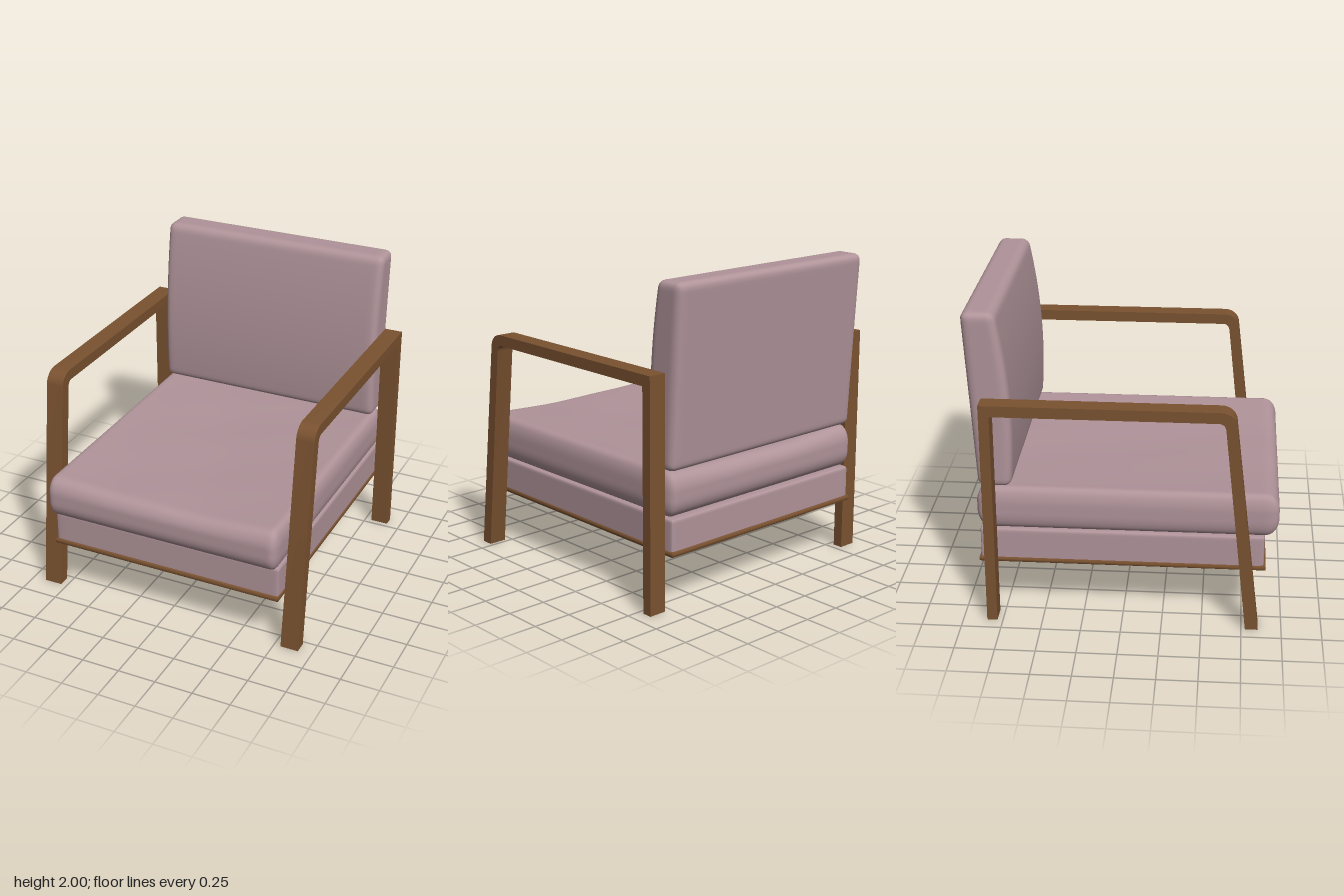
import * as THREE from 'three';
import { mergeVertices, toCreasedNormals } from 'three/addons/utils/BufferGeometryUtils.js';

const fabric = new THREE.MeshStandardMaterial({ color: 0xb0949a });
const wood = new THREE.MeshStandardMaterial({ color: 0x7a5230 });

// Box with elliptical rounded edges; vertices crowd toward the edges, then an optional rule bends it.
function softBox(size, radius, n, rule) {
  const g = new THREE.BoxGeometry(2, 2, 2, n, n, n);
  g.deleteAttribute('uv');
  g.deleteAttribute('normal');
  const pos = g.attributes.position;
  for (let i = 0; i < pos.count; i++) {
    const p = new THREE.Vector3().fromBufferAttribute(pos, i);
    const core = [], off = [];
    p.toArray().forEach((u, k) => {
      const half = size[k] / 2, inner = half - radius[k];
      const v = Math.sign(u) * (1 - (1 - Math.abs(u)) ** 2) * half;
      core[k] = THREE.MathUtils.clamp(v, -inner, inner);
      off[k] = (v - core[k]) / radius[k];
    });
    const len = Math.hypot(...off) || 1;
    p.fromArray(core.map((c, k) => c + (off[k] / len) * radius[k]));
    if (rule) rule(p);
    pos.setXYZ(i, p.x, p.y, p.z);
  }
  const merged = mergeVertices(g, 1e-5);
  merged.computeVertexNormals();
  return merged;
}

function add(group, name, geometry, material, x = 0, y = 0, z = 0) {
  const mesh = new THREE.Mesh(geometry, material);
  mesh.name = name;
  mesh.position.set(x, y, z);
  group.add(mesh);
  return mesh;
}

// Arm frame drawn in the side plane (z, y): raked front leg, rounded bend, arm rail, straight rear leg
function armGeometry(width) {
  const s = new THREE.Shape();
  s.moveTo(0.855, 0);
  s.lineTo(0.688, 1.39);
  s.bezierCurveTo(0.682, 1.435, 0.64, 1.47, 0.59, 1.47);
  s.lineTo(-0.85, 1.47);
  s.lineTo(-0.85, 0);
  s.lineTo(-0.785, 0);
  s.lineTo(-0.785, 1.4);
  s.lineTo(0.58, 1.4);
  s.bezierCurveTo(0.605, 1.4, 0.62, 1.385, 0.624, 1.355);
  s.lineTo(0.775, 0);
  s.closePath();
  const g = new THREE.ExtrudeGeometry(s, { depth: width, bevelEnabled: false, curveSegments: 10 });
  g.rotateY(-Math.PI / 2);
  g.translate(width / 2, 0, 0);
  return toCreasedNormals(g, 0.5);
}

// Thin wooden border with a rounded edge, open in the middle
function rimGeometry() {
  const rect = (path, x, z0, z1) => {
    path.moveTo(-x, z0);
    path.lineTo(x, z0);
    path.lineTo(x, z1);
    path.lineTo(-x, z1);
    path.closePath();
    return path;
  };
  const b = 0.012;
  const s = rect(new THREE.Shape(), 0.787 - b, -0.905 + b, 0.893 - b);
  s.holes.push(rect(new THREE.Path(), 0.76, -0.878, 0.866));
  const g = new THREE.ExtrudeGeometry(s, {
    depth: 0.011, bevelEnabled: true, bevelSize: b, bevelThickness: b, bevelSegments: 4,
  });
  g.rotateX(Math.PI / 2); // shape y becomes z, depth runs down
  return toCreasedNormals(g, 0.7);
}

export function createModel() {
  const chair = new THREE.Group();
  chair.name = 'armchair';

  // Wooden sides
  const arm = armGeometry(0.117);
  add(chair, 'leftArmFrame', arm, wood, 0.8525);
  add(chair, 'rightArmFrame', arm, wood, -0.8525);

  // Upholstered base on its wooden rim
  add(chair, 'seatBase', softBox([1.562, 0.225, 1.776], [0.02, 0.02, 0.02], 20), fabric, 0, 0.4725, -0.007);
  add(chair, 'baseRim', rimGeometry(), wood, 0, 0.373, 0);

  // Seat cushion: the top sags toward the middle with faint creases
  const seat = softBox([1.59, 0.285, 1.875], [0.05, 0.115, 0.085], 40, (p) => {
    if (p.y <= 0) return;
    const top = p.y / 0.1425;
    const sag = 1 - (p.x / 0.795) ** 2;
    const crease = 0.004 * Math.sin(p.x * 7 + p.z * 3) * Math.sin(p.z * 6 - p.x * 2);
    p.y -= top * sag * (0.026 + crease);
  });
  add(chair, 'seatCushion', seat, fabric, 0, 0.7275, 0.0275);

  // Back cushion: leaning flat rear, bowed front that thins toward the top
  const back = softBox([1.565, 1.13, 0.2], [0.045, 0.045, 0.05], 32, (p) => {
    const t = p.y / 1.13 + 0.5;
    const rear = -0.897 - 0.065 * t;
    const front = -0.675 - 0.17 * (t - 0.3) ** 2;
    p.z = THREE.MathUtils.lerp(rear, front, p.z / 0.2 + 0.5);
  });
  add(chair, 'backCushion', back, fabric, 0, 1.435, 0);

  return chair;
}
